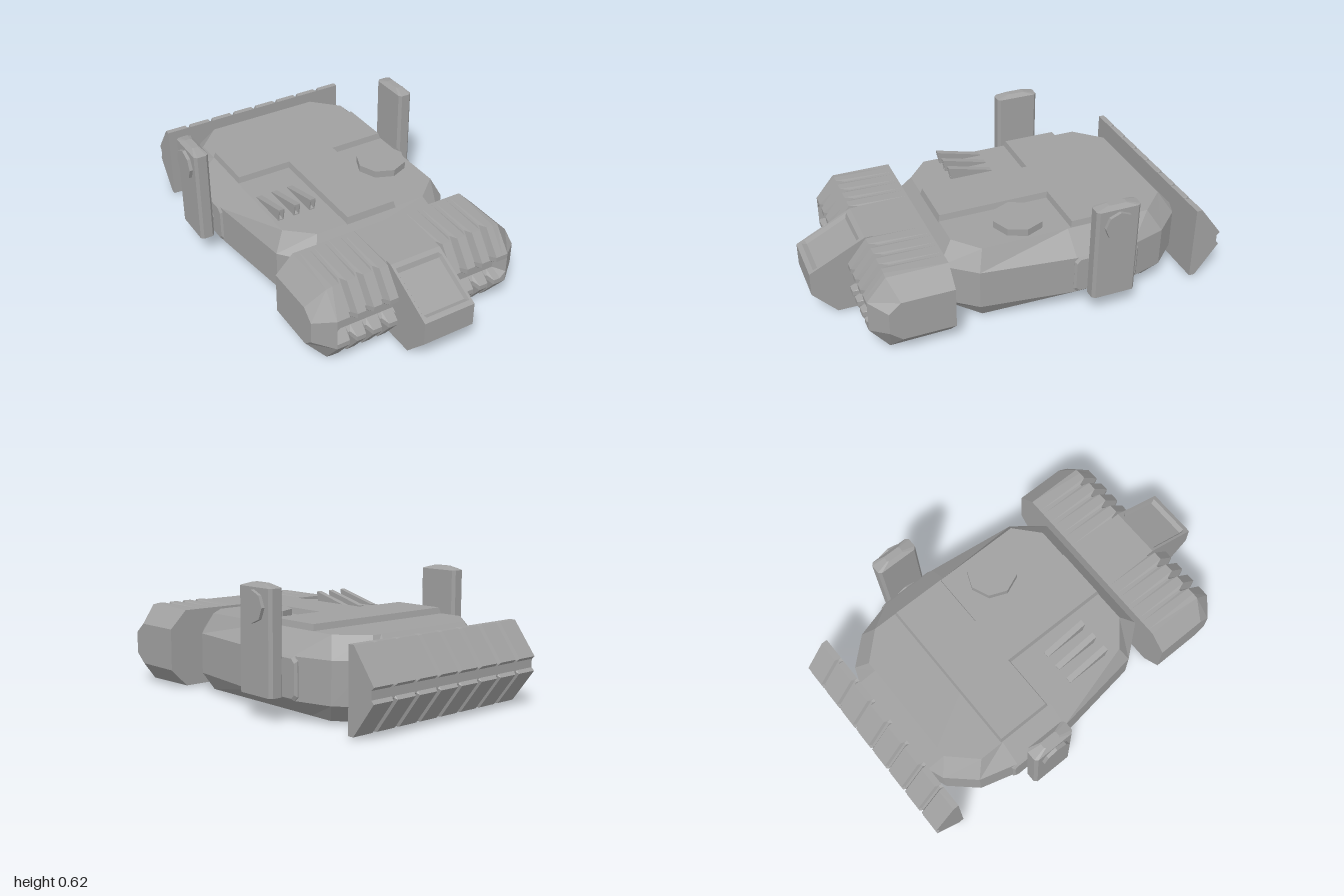
import * as THREE from 'three';

const grey = new THREE.MeshStandardMaterial({ color: 0xa0a0a0, flatShading: true });
grey.name = 'hull grey';

// Faceted solid through a list of equal-length rings of [x, y, z], capped at both ends
function loft(name, rings) {
  const tris = [], n = rings[0].length;
  for (let i = 0; i < rings.length - 1; i++) {
    const a = rings[i], b = rings[i + 1];
    for (let j = 0; j < n; j++) {
      const k = (j + 1) % n;
      tris.push([a[j], a[k], b[k]], [a[j], b[k], b[j]]);
    }
  }
  const centre = (r) => [0, 1, 2].map((c) => r.reduce((s, p) => s + p[c], 0) / n);
  const first = rings[0], last = rings[rings.length - 1];
  const c0 = centre(first), c1 = centre(last);
  for (let j = 0; j < n; j++) {
    const k = (j + 1) % n;
    tris.push([c0, first[k], first[j]], [c1, last[j], last[k]]);
  }
  // turn the faces outward if the signed volume is negative
  const volume = tris.reduce((s, [p, q, r]) => s
    + p[0] * (q[1] * r[2] - q[2] * r[1])
    + p[1] * (q[2] * r[0] - q[0] * r[2])
    + p[2] * (q[0] * r[1] - q[1] * r[0]), 0);
  if (volume < 0) tris.forEach((t) => t.reverse());
  const geo = new THREE.BufferGeometry();
  geo.setAttribute('position', new THREE.Float32BufferAttribute(tris.flat(2), 3));
  geo.computeVertexNormals();
  const mesh = new THREE.Mesh(geo, grey);
  mesh.name = name;
  return mesh;
}

// Rings across x from [z, y] profiles, and rings up y from [x, z] outlines
const acrossX = (x, profile) => profile.map(([z, y]) => [x, y, z]);
const atY = (y, outline) => outline.map(([x, z]) => [x, y, z]);
const mirror = (half) => [...half, ...half.slice().reverse().map(([x, z]) => [-x, z])];
const rect = (x0, x1, z0, z1, c) => [
  [x0 + c, z0], [x1 - c, z0], [x1, z0 + c], [x1, z1 - c],
  [x1 - c, z1], [x0 + c, z1], [x0, z1 - c], [x0, z0 + c]];

function disc(name, r, h, x, y, z, sideways) {
  const geo = new THREE.CylinderGeometry(r, r, h, 8);
  if (sideways) geo.rotateZ(Math.PI / 2);
  const mesh = new THREE.Mesh(geo, grey);
  mesh.position.set(x, y, z);
  mesh.name = name;
  return mesh;
}

// Edge p-q of a profile with a panel sunk by (dz, dy)
function panelEdge(p, q, dz, dy) {
  const at = (t, s) => [p[0] + (q[0] - p[0]) * t + dz * s, p[1] + (q[1] - p[1]) * t + dy * s];
  return [p, at(0.08, 0), at(0.14, 1), at(0.86, 1), at(0.92, 0), q];
}

export function createModel() {
  const model = new THREE.Group();

  // Main hull: chamfered above and below
  const wide = mirror([[0.35, 0.425], [0.475, 0.27], [0.535, -0.2], [0.535, -0.5],
    [0.48, -0.69], [0.36, -0.82], [0.28, -0.85]]);
  const narrow = mirror([[0.3, 0.35], [0.425, 0.24], [0.425, -0.2], [0.425, -0.5],
    [0.425, -0.63], [0.3, -0.76], [0.25, -0.76]]);
  model.add(loft('hull', [atY(0.015, narrow), atY(0.1, wide), atY(0.3, wide), atY(0.4, narrow)]));

  // Raised T-shaped deck
  const slab = (name, w, z0, z1) => loft(name, [
    atY(0.39, rect(-w, w, z0, z1, 0)),
    atY(0.43, rect(-w + 0.01, w - 0.01, z0 + 0.01, z1 - 0.01, 0))]);
  model.add(slab('deckCrossPlate', 0.425, -0.51, -0.215), slab('deckSpine', 0.14, -0.3, 0.355));

  // Front block: notched teeth, long horizontal slot, chamfered ends
  const end = [[0.42, 0.31], [0.68, 0.31], [0.74, 0.26], [0.74, 0.245], [0.74, 0.225],
    [0.74, 0.185], [0.74, 0.165], [0.74, 0.15], [0.68, 0.1], [0.42, 0.1]];
  const solid = [[0.42, 0.4], [0.72, 0.4], [0.815, 0.285], [0.815, 0.26], [0.815, 0.23],
    [0.815, 0.18], [0.815, 0.15], [0.815, 0.125], [0.72, 0.005], [0.42, 0.01]];
  const tooth = [[0.42, 0.4], [0.72, 0.405], [0.815, 0.285], [0.815, 0.26], [0.75, 0.235],
    [0.75, 0.175], [0.815, 0.15], [0.815, 0.125], [0.72, 0], [0.42, 0.01]];
  const notch = [[0.42, 0.4], [0.68, 0.4], [0.775, 0.275], [0.775, 0.25], [0.75, 0.235],
    [0.75, 0.175], [0.775, 0.16], [0.775, 0.135], [0.68, 0.01], [0.42, 0.01]];
  const half = [[0.56, end], [0.47, solid], [0.44, tooth]];
  for (const x of [0.385, 0.3, 0.215]) {
    half.push([x + 0.02, tooth], [x + 0.005, notch], [x - 0.005, notch], [x - 0.02, tooth]);
  }
  half.push([0.15, tooth], [0.14, notch]);
  const whole = [...half, ...half.slice().reverse().map(([x, p]) => [-x, p])];
  model.add(loft('frontBlock', whole.map(([x, p]) => acrossX(x, p))));

  // Nose with a sunken panel above and below
  const nose = (d) => [[0.6, 0.4],
    ...panelEdge([0.72, 0.4], [1, 0.26], -0.45 * d, -0.9 * d),
    ...panelEdge([1, 0.14], [0.88, 0.01], -0.73 * d, 0.68 * d), [0.6, 0.01]];
  model.add(loft('nose', [[-0.135, 0], [-0.122, 0], [-0.112, 0.018], [0.112, 0.018], [0.122, 0],
    [0.135, 0]].map(([x, d]) => acrossX(x, nose(d)))));

  // Rear bar: wedge section cut by seven grooves and a slot along its tip
  const bar = (d) => [[-0.85, 0.4], [-0.88 + d, 0.4 - d / 2], [-1 + d, 0.24 - d / 2], [-0.985, 0.225],
    [-0.985, 0.185], [-1 + d, 0.17 + d / 2], [-0.88 + d, 0.01 + d / 2], [-0.85, 0.01]];
  const cuts = [[-0.53, 0]];
  for (let i = -3; i <= 3; i++) {
    const x = i * 0.1345;
    cuts.push([x - 0.014, 0], [x - 0.006, 0.015], [x + 0.006, 0.015], [x + 0.014, 0]);
  }
  cuts.push([0.53, 0]);
  model.add(loft('rearBar', cuts.map(([x, d]) => acrossX(x, bar(d)))));

  // Side pads, upright pylons and their discs
  for (const s of [1, -1]) {
    const flip = (ring) => ring.map(([x, z]) => [x * s, z]);
    const pad = rect(-0.53, -0.19, 0.1, 0.3, 0.02);
    const padFace = rect(-0.52, -0.2, 0.11, 0.29, 0.02);
    model.add(loft('sidePad', [acrossX(0.48 * s, pad), acrossX(0.535 * s, pad), acrossX(0.545 * s, padFace)]));
    const body = flip(rect(0.56, 0.635, -0.468, -0.243, 0.014));
    const tip = flip(rect(0.58, 0.615, -0.4, -0.31, 0.006));
    model.add(loft('pylon', [atY(0.1, tip), atY(0.115, body), atY(0.6, body), atY(0.618, tip)]));
    model.add(disc('pylonMount', 0.075, 0.05, 0.55 * s, 0.2, -0.355, true));
    model.add(disc('pylonDisc', 0.075, 0.04, 0.632 * s, 0.515, -0.355, true));
  }

  // Octagonal hatch on the left, three hollow-fronted fins on the right
  model.add(disc('hatch', 0.127, 0.045, 0.282, 0.4135, 0));
  const fin = (d) => [[-0.06, 0.395], [-0.06, 0.405], [0.175, 0.465],
    [0.175, 0.457], [0.175 - d, 0.455], [0.165 - d, 0.41], [0.165, 0.405], [0.165, 0.395]];
  for (const x of [-0.39, -0.305, -0.22]) {
    model.add(loft('fin', [[-0.015, 0], [-0.009, 0], [-0.008, 0.03], [0.008, 0.03], [0.009, 0],
      [0.015, 0]].map(([dx, d]) => acrossX(x + dx, fin(d)))));
  }

  return model;
}
